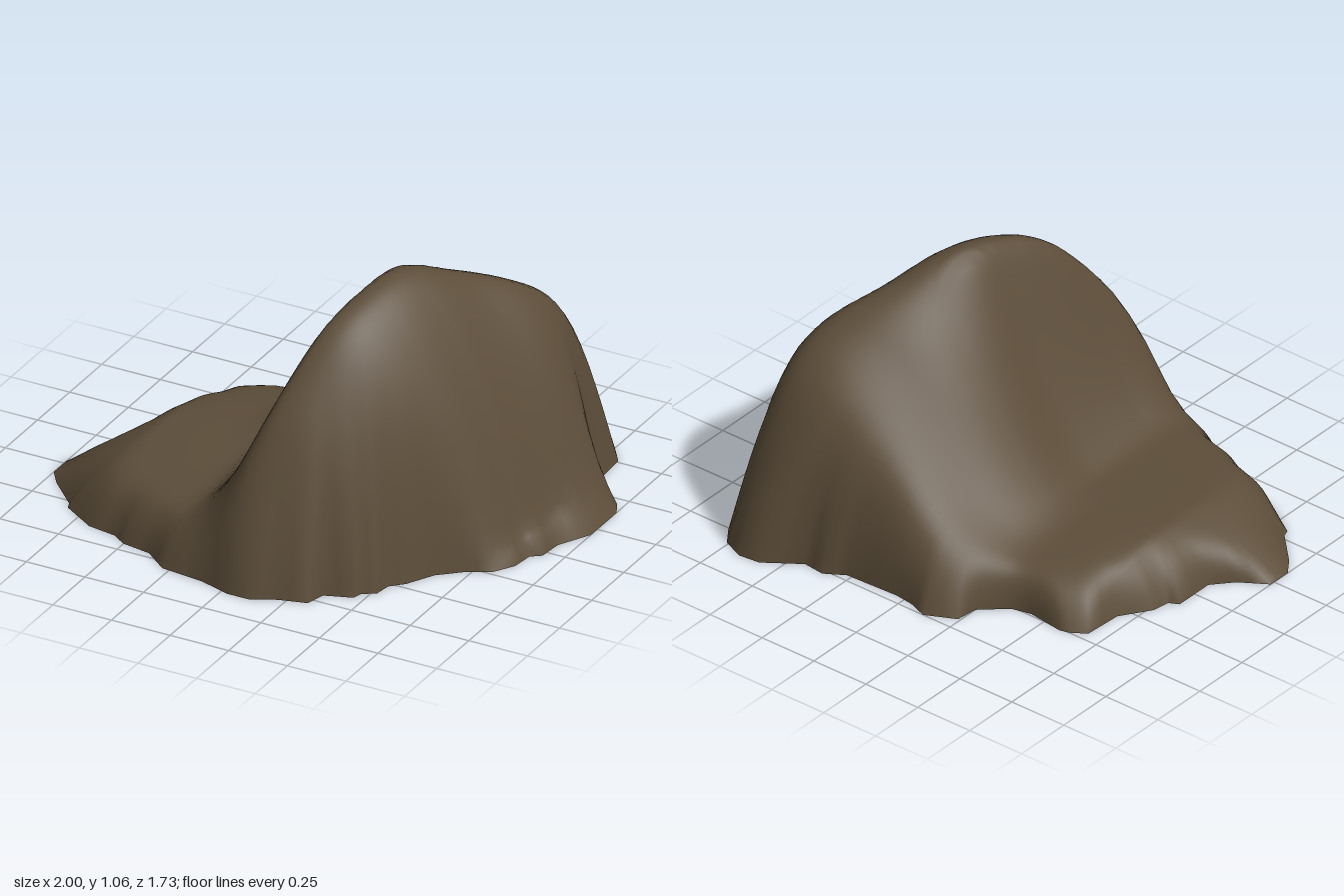
import * as THREE from 'three';

const { clamp, lerp, smoothstep } = THREE.MathUtils;

// Ground outline as x, z pairs: left end, round the back, right side, front
const OUTLINE = [
  -1, .23, -.89, .16, -.82, .08, -.82, -.09, -.78, -.11, -.77, -.18, -.69, -.3, -.68, -.46,
  -.62, -.5, -.58, -.51, -.43, -.49, -.35, -.51, -.25, -.6, -.24, -.69, -.12, -.75, -.04, -.72,
  .04, -.71, .27, -.72, .35, -.77, .44, -.76, .58, -.86, .67, -.87, .76, -.83, .81, -.76,
  .82, -.6, .83, -.52, .9, -.48, .97, -.46, 1, -.4, 1, -.2, .93, -.07, .92, .03,
  .88, .06, .87, .15, .82, .23, .73, .28, .64, .36, .58, .47, .53, .52, .52, .59,
  .47, .62, .46, .66, .35, .7, .33, .78, .22, .81, .12, .86, .03, .86, -.1, .82,
  -.28, .8, -.38, .72, -.5, .7, -.56, .66, -.68, .64, -.82, .55, -.83, .52, -.95, .4, -1, .33,
];

// Ridge line sampled every 0.2 from z = -0.8 to z = 0.8
const RIDGE_X = [.68, .64, .54, .41, .31, .26, .2, .12, .04];
const RIDGE_Y = [.48, .74, .875, .975, 1.06, 1.04, .945, .72, .46];

// Smooth lookup in an evenly spaced table
function sample(table, z) {
  const f = clamp((z + 0.8) / 0.2, 0, table.length - 1.001);
  const i = Math.floor(f), u = f - i;
  const at = (k) => table[clamp(k, 0, table.length - 1)];
  const [a, b, c, d] = [at(i - 1), at(i), at(i + 1), at(i + 2)];
  return b + 0.5 * u * (c - a + u * (2 * a - 5 * b + 4 * c - d + u * (3 * (b - c) + d - a)));
}

// Height: bulging fall right of the ridge; on the left a hollow slope in front
// and a full spur behind, both running out to a low shelf.
// t is 0 at the middle and 1 on the outline, where the skirt meets the ground
function height(x, z, t) {
  const ridge = sample(RIDGE_X, z), top = sample(RIDGE_Y, z);
  const d = x - ridge;
  const soft = Math.sqrt(d * d + 0.0036) - 0.06;
  let y;
  if (d > 0) {
    const width = 0.55 + 0.28 * Math.min(z, 0);
    y = top * (1 - Math.pow(Math.min(soft / width, 1), 1.5));
    y = Math.max(y, 0.16);
  } else {
    const shelf = 0.215 - 0.05 * smoothstep(-z, 0, 0.5) - 0.4 * Math.max(-0.65 - x, 0);
    const hollow = Math.pow(1 - Math.min(soft / (ridge + 0.2), 1), clamp(1.5 + 0.8 * z, 1.4, 1.9));
    const spur = 0.5 + 0.5 * Math.cos(Math.PI * Math.min(-d / (ridge + 0.38), 1));
    const fall = lerp(spur, hollow, smoothstep(z, -0.35, 0.15));
    y = shelf + Math.max(top - shelf, 0) * fall;
  }
  return y * (1 - Math.pow(t, 14));
}

// Outline points, subdivided
function rimPoints(split) {
  const rim = [];
  const n = OUTLINE.length / 2;
  for (let i = 0; i < n; i++) {
    const j = (i + 1) % n;
    for (let s = 0; s < split; s++) {
      const u = s / split;
      rim.push([
        lerp(OUTLINE[2 * i], OUTLINE[2 * j], u),
        lerp(OUTLINE[2 * i + 1], OUTLINE[2 * j + 1], u),
      ]);
    }
  }
  return rim;
}

// Running average round a closed loop, to calm the jags
function smoothed(loop, reach) {
  const n = loop.length;
  return loop.map((_, i) => {
    let x = 0, z = 0;
    for (let k = -reach; k <= reach; k++) {
      const p = loop[(i + k + n) % n];
      x += p[0];
      z += p[1];
    }
    return [x / (2 * reach + 1), z / (2 * reach + 1)];
  });
}

// Concentric rings, smooth inside and jagged at the rim, lifted by the height rule
function moundGeometry(rings = 32, split = 2) {
  const rim = rimPoints(split);
  const calm = smoothed(rim, 5);
  const m = rim.length;
  const pos = [0, height(0, 0, 0), 0];
  const index = [];
  for (let k = 1; k <= rings; k++) {
    const t = 1 - Math.pow(1 - k / rings, 1.35);
    const jag = Math.pow(t, 8);
    for (let i = 0; i < m; i++) {
      const x = t * lerp(calm[i][0], rim[i][0], jag);
      const z = t * lerp(calm[i][1], rim[i][1], jag);
      pos.push(x, height(x, z, t), z);
      const j = (i + 1) % m;
      const outer = 1 + (k - 1) * m, inner = outer - m;
      if (k === 1) index.push(0, outer + j, outer + i);
      else index.push(inner + i, outer + j, outer + i, inner + i, inner + j, outer + j);
    }
  }
  const geo = new THREE.BufferGeometry();
  geo.setAttribute('position', new THREE.Float32BufferAttribute(pos, 3));
  geo.setIndex(index);
  geo.computeVertexNormals();
  return geo;
}

export function createModel() {
  const group = new THREE.Group();
  group.name = 'rockMound';

  // Open-bottomed shell, so both sides show
  const earth = new THREE.MeshStandardMaterial({ color: 0x5c4d39, side: THREE.DoubleSide });
  earth.name = 'earth brown';

  const mound = new THREE.Mesh(moundGeometry(), earth);
  mound.name = 'mound';
  group.add(mound);
  return group;
}
